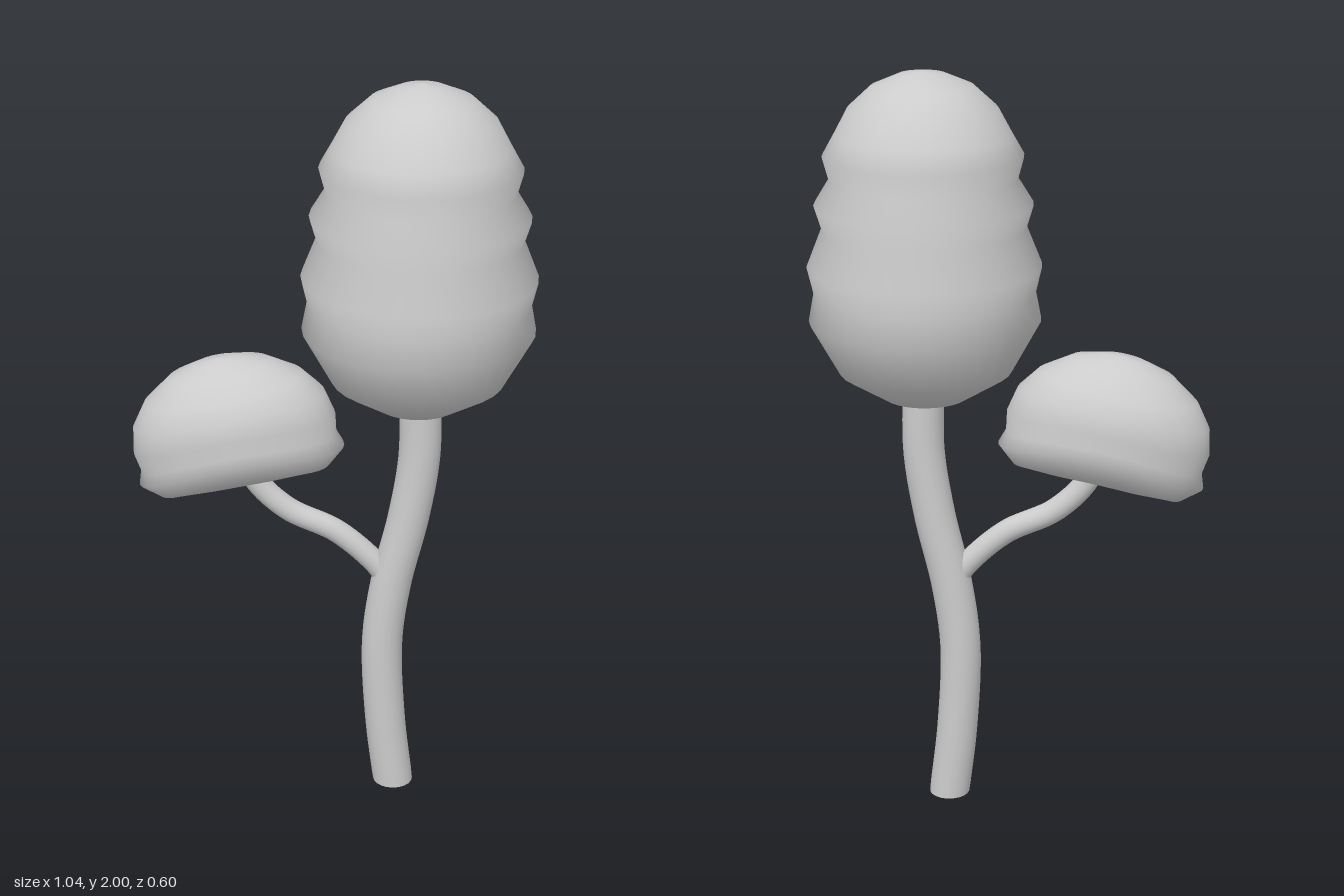
import * as THREE from 'three';

const material = new THREE.MeshStandardMaterial({ color: 0xcccccc });
const vec2 = (pts) => pts.map(([x, y]) => new THREE.Vector2(x, y));

function addMesh(group, name, geometry) {
  const mesh = new THREE.Mesh(geometry, material);
  mesh.name = name;
  group.add(mesh);
  return mesh;
}

// Round stem following points in the x-y plane
function stem(points, radius, steps) {
  const curve = new THREE.CatmullRomCurve3(points.map(([x, y]) => new THREE.Vector3(x, y, 0)));
  return new THREE.TubeGeometry(curve, steps, radius, 20);
}

export function createModel() {
  const group = new THREE.Group();

  // Curved main stem, cut level at the ground
  const trunk = stem([[0.168, 0], [0.145, 0.2], [0.135, 0.44], [0.157, 0.62],
    [0.202, 0.82], [0.228, 1.0], [0.226, 1.2]], 0.055, 40);
  const tp = trunk.attributes.position;
  for (let i = 0; i <= 20; i++) tp.setY(i, 0);
  addMesh(group, 'mainStem', trunk);
  const base = addMesh(group, 'stemBase', new THREE.CircleGeometry(0.055, 20));
  base.rotation.x = Math.PI / 2;
  base.position.set(0.168, 0, 0);

  // Tall ridged cap on the main stem
  const tall = new THREE.LatheGeometry(vec2([
    [0, 1.135], [0.11, 1.148], [0.225, 1.22], [0.3, 1.357], [0.286, 1.43],
    [0.302, 1.5], [0.262, 1.6], [0.28, 1.66], [0.24, 1.725], [0.256, 1.785],
    [0.225, 1.84], [0.19, 1.905], [0.13, 1.96], [0.06, 1.99], [0, 2],
  ]), 32);
  addMesh(group, 'tallCap', tall).position.x = 0.22;

  // Side branch
  addMesh(group, 'branch', stem([[0.15, 0.63], [0.11, 0.685], [0.01, 0.775],
    [-0.12, 0.842], [-0.205, 0.93], [-0.235, 1.02]], 0.031, 32));

  // Oval side cap: lathed dome, narrowed in z, its rim arched up at front and back
  const side = new THREE.LatheGeometry(vec2([
    [0, 0], [0.08, 0], [0.16, 0], [0.228, 0.003], [0.275, 0.045], [0.262, 0.084],
    [0.27, 0.137], [0.255, 0.205], [0.212, 0.265], [0.135, 0.32], [0.06, 0.344], [0, 0.35],
  ]), 40);
  const p = side.attributes.position;
  for (let i = 0; i < p.count; i++) {
    const y = p.getY(i), z = p.getZ(i) * 0.64;
    p.setZ(i, z);
    p.setY(i, y + 2.4 * z * z * (1 - y / 0.35));
  }
  // Average the normals across the seam by reusing the first column
  side.computeVertexNormals();
  const n = side.attributes.normal, rows = 12, last = p.count - rows;
  for (let i = 0; i < rows; i++) {
    const v = new THREE.Vector3().fromBufferAttribute(n, i)
      .add(new THREE.Vector3().fromBufferAttribute(n, last + i)).normalize();
    n.setXYZ(i, v.x, v.y, v.z);
    n.setXYZ(last + i, v.x, v.y, v.z);
  }
  const sideCap = addMesh(group, 'sideCap', side);
  sideCap.position.set(-0.23, 0.93, 0);
  sideCap.rotation.z = 0.2;

  return group;
}
